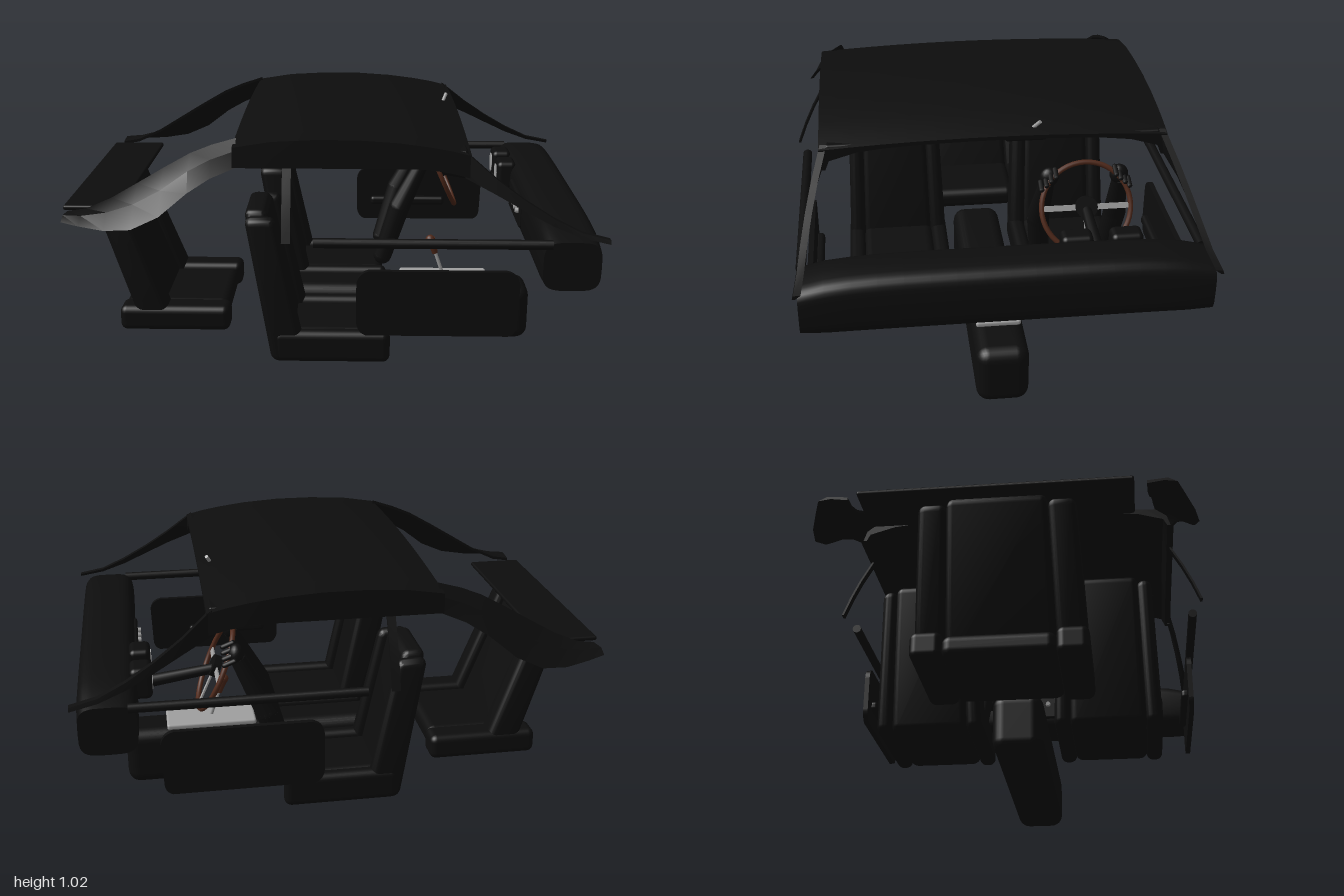
import * as THREE from 'three';
import { toCreasedNormals } from 'three/addons/utils/BufferGeometryUtils.js';
import { RoundedBoxGeometry } from 'three/addons/geometries/RoundedBoxGeometry.js';

const mat = (name, color) => Object.assign(new THREE.MeshStandardMaterial({ color }), { name });

export function createModel() {
  const black = mat('blackTrim', 0x0d0d0d);
  black.side = THREE.DoubleSide;
  const silver = mat('silver', 0xa0a0a0);
  const brown = mat('brownWood', 0x50291a);
  const car = new THREE.Group();
  car.name = 'carInterior';

  const add = (parent, name, geo, material, x = 0, y = 0, z = 0) => {
    const m = new THREE.Mesh(geo, material);
    m.name = name;
    m.position.set(x, y, z);
    parent.add(m);
    return m;
  };
  const group = (name, parent = car) => {
    const g = new THREE.Group();
    g.name = name;
    parent.add(g);
    return g;
  };
  // rounded box given by its limits on each axis
  const box = (parent, name, [x0, x1], [y0, y1], [z0, z1], r, material = black) =>
    add(parent, name, new RoundedBoxGeometry(x1 - x0, y1 - y0, z1 - z0, 3, r), material,
      (x0 + x1) / 2, (y0 + y1) / 2, (z0 + z1) / 2);
  // tapered rod between two points
  const rod = (parent, name, a, b, ra, rb, material = black) => {
    const p = new THREE.Vector3(...a), q = new THREE.Vector3(...b);
    const m = add(parent, name, new THREE.CylinderGeometry(rb, ra, p.distanceTo(q), 14), material);
    m.position.copy(p).lerp(q, 0.5);
    m.quaternion.setFromUnitVectors(new THREE.Vector3(0, 1, 0), q.sub(p).normalize());
    return m;
  };
  // skin over rings with an even number of points, capped at both ends
  const loft = (rings) => {
    const n = rings[0].length, last = (rings.length - 1) * n, idx = [];
    for (let i = 0; i < rings.length - 1; i++) {
      for (let j = 0; j < n; j++) {
        const a = i * n + j, b = i * n + (j + 1) % n;
        idx.push(a, b, a + n, b, b + n, a + n);
      }
    }
    for (let j = 0; j < n / 2 - 1; j++) {
      const a = j, b = j + 1, c = n - 2 - j, d = n - 1 - j;
      idx.push(a, c, b, a, d, c, last + a, last + b, last + c, last + a, last + c, last + d);
    }
    const g = new THREE.BufferGeometry();
    g.setAttribute('position', new THREE.Float32BufferAttribute(rings.flat(2), 3));
    g.setIndex(idx);
    return toCreasedNormals(g, 0.6);
  };

  // Roof shell with side rails folded down
  const roofRow = [[-0.34, 1.0, 0.905], [-0.2, 1.022, 0.905], [-0.05, 1.03, 0.905], [0.1, 1.03, 0.905],
    [0.25, 1.02, 0.905], [0.36, 1.006, 0.903], [0.44, 0.992, 0.89], [0.51, 0.975, 0.872]];
  add(car, 'roof', loft(roofRow.map(([x, top, low]) => {
    const outer = [[x, low, -0.64]], inner = [[x, low, -0.615]];
    for (let i = 0; i <= 12; i++) {
      const t = i / 6 - 1, y = top - 0.022 * t ** 2;
      outer.push([x, y, 0.635 * t]);
      inner.push([x, y - 0.014 - 0.03 * t ** 8, 0.6 * t]);
    }
    outer.push([x, low, 0.64]);
    inner.push([x, low, 0.615]);
    return [...outer, ...inner.reverse()];
  })), black);

  // Pillars, straps, rails and doors on each side
  const frontRow = [[0.49, 0.965, 0.872, 0.625], [0.6, 0.875, 0.82, 0.66], [0.7, 0.805, 0.768, 0.683],
    [0.8, 0.745, 0.718, 0.7], [0.9, 0.697, 0.68, 0.712], [1.0, 0.675, 0.66, 0.722]];
  const rearRow = [[-0.33, 0.998, 0.57, 0.905, 0.64], [-0.42, 0.97, 0.56, 0.868, 0.652],
    [-0.5, 0.937, 0.555, 0.82, 0.675], [-0.6, 0.88, 0.55, 0.74, 0.705], [-0.7, 0.82, 0.545, 0.695, 0.715],
    [-0.8, 0.76, 0.535, 0.684, 0.695], [-0.9, 0.715, 0.528, 0.688, 0.658], [-0.97, 0.704, 0.525, 0.694, 0.63]];
  const panel = new THREE.Shape();
  panel.moveTo(0.14, 0.29).lineTo(0.66, 0.29).quadraticCurveTo(0.69, 0.3, 0.69, 0.34);
  panel.lineTo(0.695, 0.49).quadraticCurveTo(0.69, 0.53, 0.65, 0.54).lineTo(0.15, 0.54);
  panel.quadraticCurveTo(0.11, 0.53, 0.105, 0.49).lineTo(0.105, 0.34).quadraticCurveTo(0.11, 0.3, 0.14, 0.29);
  const panelGeo = new THREE.ExtrudeGeometry(panel, { depth: 0.02, bevelEnabled: false });
  for (const s of [1, -1]) {
    const side = group(s > 0 ? 'leftBodySide' : 'rightBodySide');
    side.scale.z = s;
    add(side, 'frontPillar', loft(frontRow.map(([x, hi, lo, z]) =>
      [[x, hi, z - 0.02], [x, lo, z], [x, lo, z + 0.01], [x, hi, z + 0.005]])), black);
    add(side, 'rearPillar', loft(rearRow.map(([x, yu, zu, yl, zl]) => {
      const my = (yu + yl) / 2 + 0.012, mz = (zu + zl) / 2 + 0.02;
      return [[x, yu, zu], [x, my, mz], [x, yl, zl],
        [x, yl + 0.002, zl - 0.012], [x, my - 0.01, mz - 0.012], [x, yu - 0.012, zu]];
    })), black);
    add(side, 'beltStrap', loft([[0.91, 0.63], [0.82, 0.68], [0.74, 0.717], [0.66, 0.748]].map(([y, z]) =>
      [[-0.162, y, z], [-0.13, y, z], [-0.13, y, z - 0.009], [-0.162, y, z - 0.009]])), black);
    rod(side, 'windowRail', [-0.05, 0.65, 0.71], [0.8, 0.65, 0.71], 0.018, 0.018);
    add(side, 'doorPanel', panelGeo, black, 0, 0, 0.68);
    box(side, 'armrest', [0.17, 0.52], [0.365, 0.405], [0.653, 0.69], 0.015);
    box(side, 'sunVisor', [0.35, 0.5], [0.945, 0.965], [0.33, 0.61], 0.009);
  }

  // Dashboard, crowned along its length
  const dashRings = [];
  for (let i = 0; i <= 16; i++) {
    const t = i / 8 - 1, top = 0.7 - 0.035 * Math.abs(t) ** 5;
    const k = Math.abs(t) === 1 ? 0.96 : 1, ring = [];
    for (let j = 0; j < 32; j++) {
      const a = (j / 32) * Math.PI * 2, c = Math.cos(a), q = Math.sin(a);
      ring.push([0.873 + k * 0.108 * Math.sign(c) * Math.abs(c) ** 0.5,
        (top + 0.475) / 2 + k * (top - 0.475) / 2 * Math.sign(q) * Math.abs(q) ** 0.5, 0.718 * t]);
    }
    dashRings.push(ring);
  }
  add(car, 'dashboard', loft(dashRings), black);

  // Instruments and centre controls
  for (const z of [-0.445, -0.265]) {
    box(car, 'gaugePod', [0.71, 0.79], [0.58, 0.7], [z - 0.058, z + 0.058], 0.02);
    const dial = add(car, 'gaugeDial', new THREE.CylinderGeometry(0.04, 0.04, 0.004, 24), silver, 0.709, 0.64, z);
    dial.rotation.z = Math.PI / 2;
  }
  box(car, 'controlPanel', [0.755, 0.78], [0.53, 0.65], [-0.14, 0.17], 0.01);
  for (let i = 0; i < 6; i++) {
    rod(car, 'controlKnob', [0.756, 0.6, -0.12 + i * 0.054], [0.742, 0.6, -0.12 + i * 0.054], 0.012, 0.01, silver);
  }

  // Steering wheel and column
  rod(car, 'steeringColumn', [0.48, 0.625, -0.355], [0.79, 0.58, -0.355], 0.02, 0.026);
  const steering = group('steering');
  steering.position.set(0.47, 0.635, -0.355);
  steering.rotation.z = 0.42;
  const wheel = group('steeringWheel', steering);
  wheel.rotation.y = Math.PI / 2;
  add(wheel, 'rim', new THREE.TorusGeometry(0.172, 0.01, 10, 48), brown);
  add(wheel, 'hub', new THREE.CylinderGeometry(0.042, 0.042, 0.03, 24), black).rotation.x = Math.PI / 2;
  for (const a of [0, Math.PI, -Math.PI / 2]) {
    const spoke = add(wheel, 'spoke', new THREE.BoxGeometry(0.14, 0.022, 0.006), silver,
      0.1 * Math.cos(a), 0.1 * Math.sin(a), 0);
    spoke.rotation.z = a;
  }

  // Gloved arms resting on the wheel
  for (const s of [1, -1]) {
    const arm = group(s > 0 ? 'leftArm' : 'rightArm');
    arm.position.z = -0.355;
    arm.scale.z = s;
    rod(arm, 'sleeve', [0.22, 0.27, 0.135], [0.29, 0.5, 0.155], 0.04, 0.045);
    rod(arm, 'forearm', [0.29, 0.5, 0.155], [0.395, 0.715, 0.14], 0.045, 0.028);
    for (const [y, x, r] of [[0.27, 0.22, 0.04], [0.5, 0.29, 0.045]]) {
      add(arm, 'armJoint', new THREE.SphereGeometry(r, 16, 10), black, x, y, y < 0.4 ? 0.135 : 0.155);
    }
    add(arm, 'palm', new THREE.SphereGeometry(0.036, 16, 12), black, 0.4, 0.735, 0.135).scale.set(0.8, 1.1, 1);
    for (let i = 0; i < 4; i++) {
      const f = add(arm, 'finger', new THREE.CapsuleGeometry(0.01, 0.04, 4, 8), black,
        0.428, 0.765 - i * 0.017, 0.115 + i * 0.018);
      f.rotation.z = 1.2;
    }
  }

  // Centre console with gear lever
  box(car, 'console', [-0.25, 0.83], [0.005, 0.243], [-0.1, 0.1], 0.05);
  box(car, 'gearPlate', [0.29, 0.66], [0.238, 0.263], [-0.086, 0.086], 0.01, silver);
  rod(car, 'gearLever', [0.475, 0.255, 0], [0.435, 0.37, 0], 0.008, 0.007, silver);
  rod(car, 'gearKnob', [0.437, 0.36, 0], [0.415, 0.425, 0], 0.012, 0.02, brown);
  add(car, 'gearKnobTop', new THREE.SphereGeometry(0.02, 14, 10), brown, 0.415, 0.42, 0);

  // Seat: cushion and leaning backrest, both flanked by bolsters
  const seat = (name, x, z, y0, y1, half, bolster, backX, lean) => {
    const g = group(name);
    const h = 0.7 - y0;
    const back = (part, x0, x1, z0, z1, top) => {
      const m = box(g, part, [x0, x1], [y0, top], [z0, z1], Math.min(0.03, (z1 - z0) / 2.2));
      const p = m.geometry.attributes.position;
      for (let i = 0; i < p.count; i++) {
        const t = (p.getY(i) + m.position.y - y0) / h;
        p.setX(i, p.getX(i) * (1.05 - 0.2 * t) - lean * t);
        p.setZ(i, (p.getZ(i) + m.position.z) * (1 - 0.1 * t) - m.position.z);
      }
      m.geometry.computeVertexNormals();
      m.geometry = toCreasedNormals(m.geometry, 0.7);
    };
    const inner = half - bolster;
    box(g, 'cushion', [0, 0.43], [y0, y1 - 0.015], [-inner, inner], 0.035);
    back('backrest', backX, backX + 0.105, -inner, inner, 0.695);
    for (const s of [1, -1]) {
      const [z0, z1] = s > 0 ? [inner - 0.005, half] : [-half, 0.005 - inner];
      box(g, 'cushionBolster', [0, 0.445], [y0, y1], [z0, z1], 0.028);
      back('backBolster', backX, backX + 0.135, z0, z1, 0.68);
    }
    g.position.set(x, 0, z);
  };
  seat('leftFrontSeat', -0.21, 0.35, 0.108, 0.235, 0.21, 0.06, -0.005, 0.115);
  seat('rightFrontSeat', -0.21, -0.35, 0.108, 0.235, 0.21, 0.06, -0.005, 0.115);
  seat('rearSeat', -0.85, 0, 0.125, 0.228, 0.31, 0.11, 0.095, 0.205);
  box(car, 'parcelShelf', [-1, -0.78], [0.692, 0.71], [-0.487, 0.482], 0.008);

  // Rear-view mirror on its stem
  box(car, 'mirror', [0.43, 0.455], [0.92, 0.965], [-0.2, -0.042], 0.012);
  rod(car, 'mirrorStem', [0.445, 0.95, -0.12], [0.475, 1.01, -0.168], 0.007, 0.007, silver);
  return car;
}
